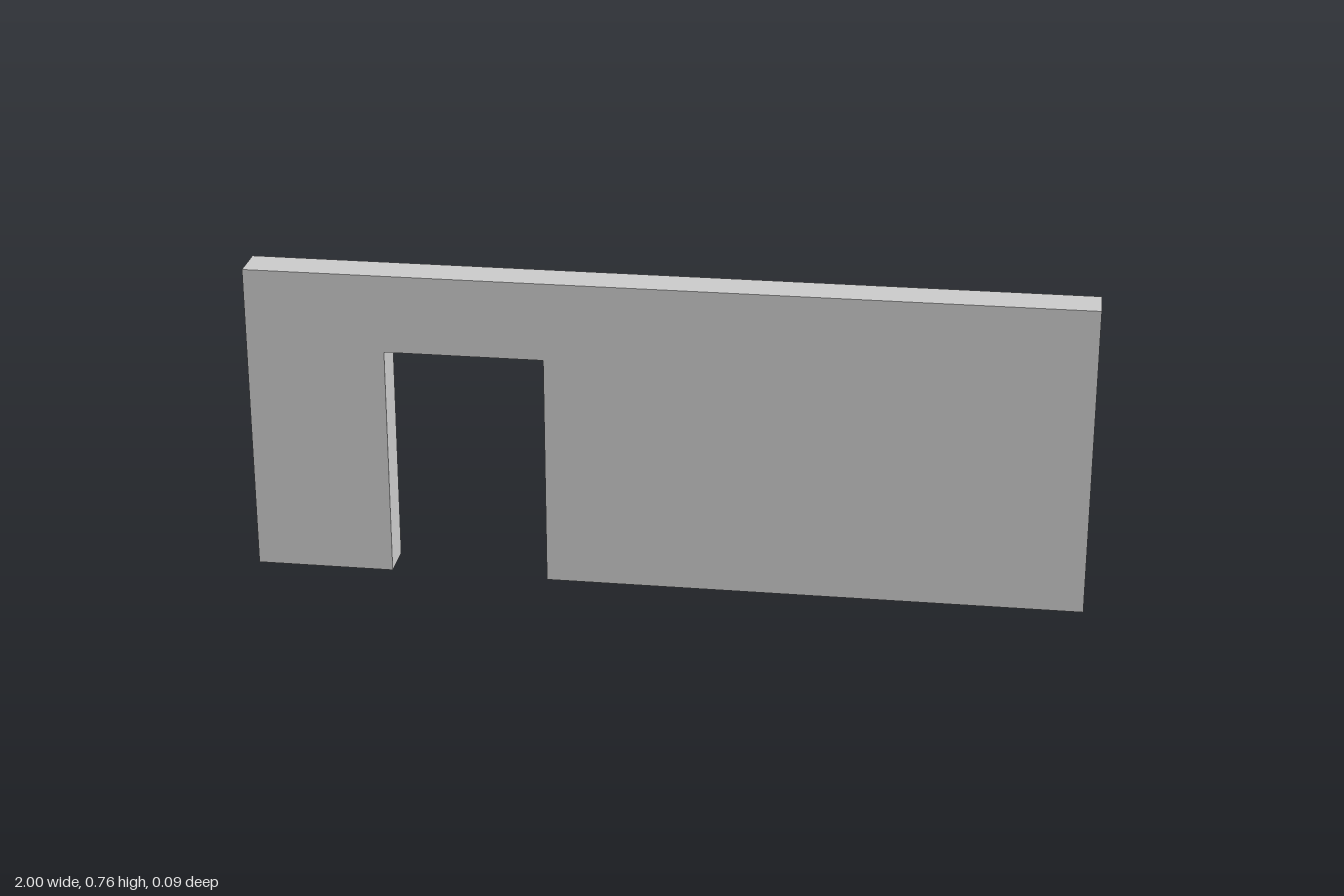
import * as THREE from 'three';

export function createModel() {
  const height = 0.762, thickness = 0.095;
  const doorLeft = -0.667, doorRight = -0.286, doorTop = 0.571;

  // Wall outline with a doorway notched up from the floor
  const outline = new THREE.Shape([
    [-1, 0], [doorLeft, 0], [doorLeft, doorTop], [doorRight, doorTop],
    [doorRight, 0], [1, 0], [1, height], [-1, height],
  ].map(([x, y]) => new THREE.Vector2(x, y)));

  const geometry = new THREE.ExtrudeGeometry(outline, { depth: thickness, bevelEnabled: false });
  geometry.translate(0, 0, -thickness / 2);

  const wall = new THREE.Mesh(geometry, new THREE.MeshStandardMaterial({ color: 0xcccccc }));
  wall.name = 'wallWithDoorway';

  const group = new THREE.Group();
  group.name = 'wall';
  group.add(wall);
  return group;
}
